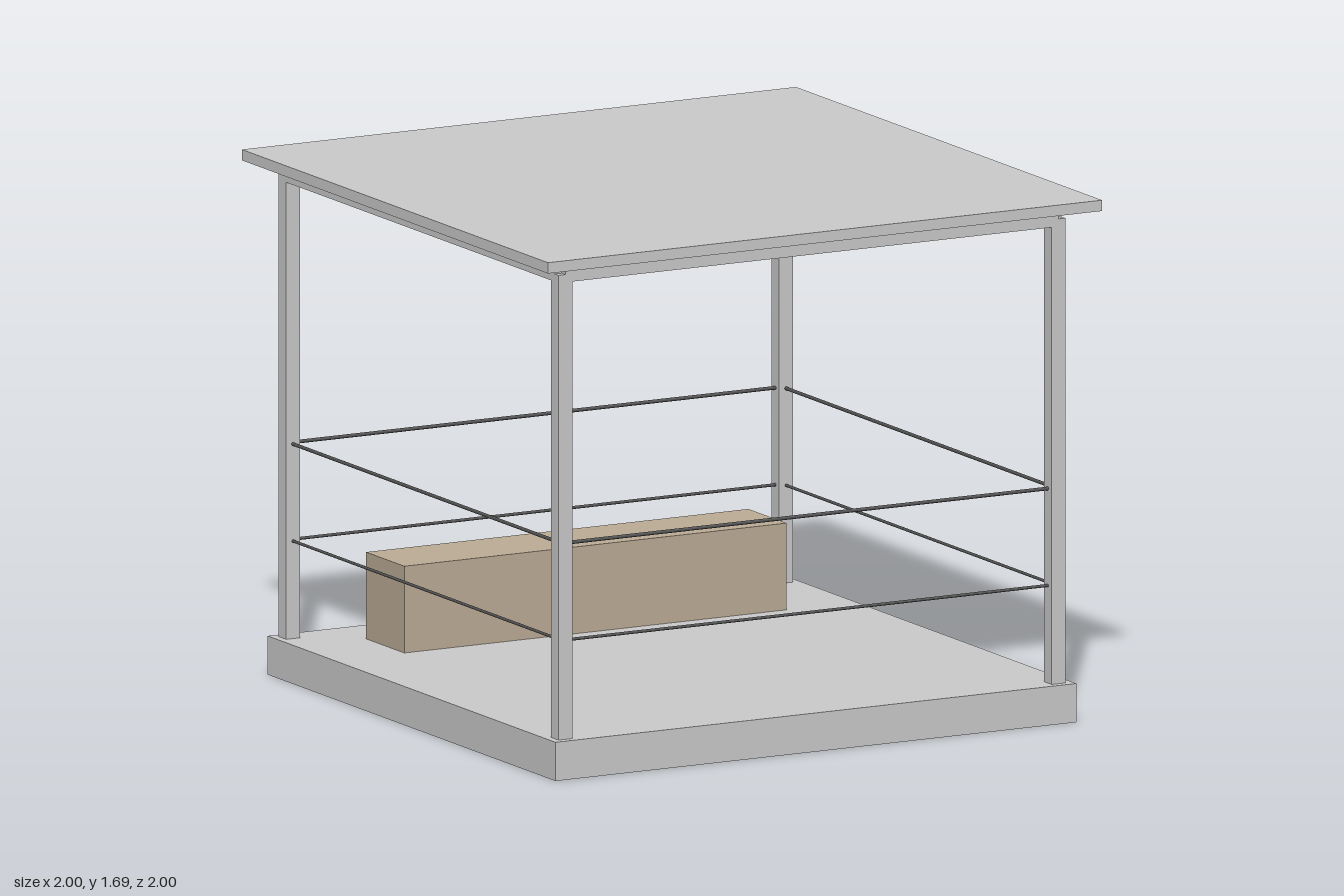
import * as THREE from 'three';

export function createModel() {
  const model = new THREE.Group();
  const grey = new THREE.MeshStandardMaterial({ color: 0xcccccc });
  const wood = new THREE.MeshStandardMaterial({ color: 0xbdad97 });
  const dark = new THREE.MeshStandardMaterial({ color: 0x555555 });

  // Box resting on height y
  function box(name, parent, material, [w, h, d], [x, y, z]) {
    const mesh = new THREE.Mesh(new THREE.BoxGeometry(w, h, d), material);
    mesh.name = name;
    mesh.position.set(x, y + h / 2, z);
    parent.add(mesh);
  }

  const postLine = 0.89; // distance of post centres from the middle
  const postSize = 0.05;

  box('floorSlab', model, grey, [1.88, 0.125, 1.88], [0, 0, 0]);
  box('roof', model, grey, [2, 0.035, 2], [0, 1.655, 0]);
  box('bench', model, wood, [1.38, 0.28, 0.25], [0, 0.125, -0.625]);

  // Corner posts
  for (const sx of [-1, 1]) {
    for (const sz of [-1, 1]) {
      box('post', model, grey, [postSize, 1.5, postSize], [sx * postLine, 0.125, sz * postLine]);
    }
  }

  // Each side has a roof beam and two thin rails between the post centres
  const sides = ['front', 'left', 'back', 'right'];
  sides.forEach((name, i) => {
    const side = new THREE.Group();
    side.name = name + 'Side';
    side.rotation.y = i * Math.PI / 2;
    box('roofBeam', side, grey, [2 * postLine, 0.055, postSize], [0, 1.6, postLine]);
    for (const [railName, y, radius] of [['upperRail', 0.753, 0.006], ['lowerRail', 0.44, 0.005]]) {
      const rail = new THREE.Mesh(new THREE.CylinderGeometry(radius, radius, 2 * postLine, 8), dark);
      rail.name = railName;
      rail.rotation.z = Math.PI / 2;
      rail.position.set(0, y, postLine);
      side.add(rail);
    }
    model.add(side);
  });

  return model;
}
